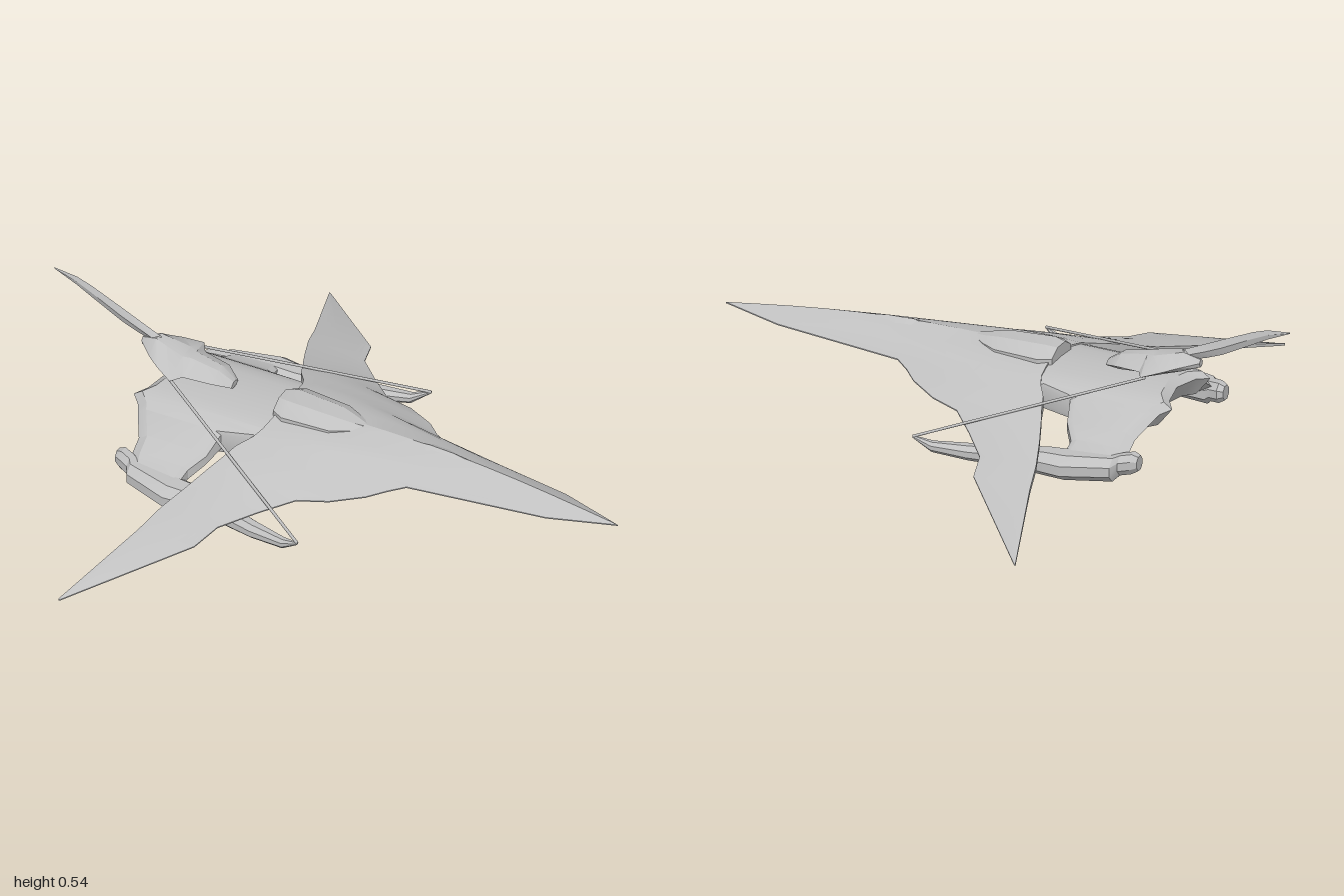
import * as THREE from 'three';
import { toCreasedNormals } from 'three/addons/utils/BufferGeometryUtils.js';

const hullGrey = new THREE.MeshStandardMaterial({ color: 0xc0c0c0 });
hullGrey.name = 'hullGrey';

// Skins equal-length rings of [x, y, z] points and caps both ends, facing outward.
function loft(rings, crease = 0.45) {
  const n = rings[0].length, tris = [];
  const add = (a, b, c) => tris.push([a, b, c]);
  for (let i = 0; i < rings.length - 1; i++) {
    for (let j = 0; j < n; j++) {
      const k = (j + 1) % n;
      const a = rings[i][j], b = rings[i][k], c = rings[i + 1][k], d = rings[i + 1][j];
      add(a, b, c);
      add(a, c, d);
    }
  }
  const mid = r => [0, 1, 2].map(k => r.reduce((s, p) => s + p[k], 0) / n);
  const first = rings[0], last = rings[rings.length - 1];
  for (let j = 0; j < n; j++) {
    const k = (j + 1) % n;
    add(mid(first), first[k], first[j]);
    add(mid(last), last[j], last[k]);
  }
  // flip the winding if the enclosed volume is negative
  let volume = 0;
  for (const [a, b, c] of tris) {
    volume += new THREE.Vector3(...a).dot(new THREE.Vector3(...b).cross(new THREE.Vector3(...c)));
  }
  const pos = tris.flatMap(([a, b, c]) => (volume < 0 ? [a, c, b] : [a, b, c]).flat());
  const geo = new THREE.BufferGeometry();
  geo.setAttribute('position', new THREE.Float32BufferAttribute(pos, 3));
  return toCreasedNormals(geo, crease);
}

// Mirrors half-span stations (z first) to a full left-to-right list.
const fullSpan = half => [
  ...half.slice(1).reverse().map(([z, ...r]) => [-z, ...r]),
  ...half,
];

// Lengthwise station to a flattened octagonal ring: [x, y, z, halfHeight, halfWidth]
const octagon = ([x, y, z, h, w]) =>
  [[1, .4], [.45, 1], [-.45, 1], [-1, .4], [-1, -.4], [-.45, -1], [.45, -1], [1, -.4]]
    .map(([a, b]) => [x, y + b * h, z + a * w]);

export function createModel() {
  const group = new THREE.Group();
  const add = (name, geo, parent = group) => {
    const mesh = new THREE.Mesh(geo, hullGrey);
    mesh.name = name;
    parent.add(mesh);
    return mesh;
  };

  // Nose and swept wings: z, leading x/y, trailing x, trailing top/bottom y, bulge
  const wing = fullSpan([
    [0, 1, .205, -.17, .29, .19, .035],
    [.07, .78, .205, -.18, .28, .19, .022],
    [.135, .32, .21, -.19, .265, .187, .022],
    [.17, .27, .2, -.205, .252, .185, .018],
    [.22, .22, .193, -.24, .237, .19, .014],
    [.28, .12, .18, -.265, .215, .185, .01],
    [.31, .02, .17, -.28, .203, .178, .01],
    [.4, -.07, .15, -.32, .168, .15, .008],
    [.5, -.16, .127, -.36, .138, .122, .005],
    [.6, -.19, .107, -.39, .105, .092, .004],
    [.92, -.5, .002, -.505, .004, 0, 0],
  ]);
  const steps = 10;
  add('wingAndNose', loft(wing.map(([z, lx, ly, tx, top, bottom, bulge]) => {
    const ring = [];
    for (let i = 0; i <= steps; i++) {
      const t = i / steps;
      ring.push([lx + (tx - lx) * t, ly + (top - ly) * t + bulge * Math.sin(Math.PI * t), z]);
    }
    for (let i = steps; i >= 0; i--) {
      const t = i / steps;
      ring.push([lx + (tx - lx) * t, ly - .004 + (bottom - ly) * t, z]);
    }
    return ring;
  })));

  // Low spine on the nose
  const ridge = [[.27, .26, .285, .015], [.33, .255, .291, .07], [.42, .25, .286, .052], [.66, .235, .25, .003]];
  add('noseSpine', loft(ridge.map(([x, low, top, w]) =>
    [[x, low, -w], [x, top, 0], [x, low, w]])));

  // Raised canopy hump
  const canopy = [
    [-.19, .255, .315, .065], [-.15, .25, .32, .088], [.01, .25, .31, .075],
    [.07, .26, .298, .045], [.125, .27, .288, .004],
  ];
  add('canopy', loft(canopy.map(([x, low, top, w]) => [
    [x, low, -w], [x, (low + top) / 2 + .005, -w], [x, top, -w * .4],
    [x, top, w * .4], [x, (low + top) / 2 + .005, w], [x, low, w],
  ])));

  // Arched rear hull drooping to the pods: z, rear x, front x, top y, bottom y
  const arch = fullSpan([
    [0, -.6, -.12, .275, .17],
    [.09, -.62, -.13, .27, .17],
    [.13, -.65, -.16, .262, .168],
    [.16, -.62, -.19, .25, .165],
    [.18, -.61, -.315, .236, .158],
    [.24, -.575, -.335, .185, .13],
    [.29, -.575, -.375, .15, .09],
    [.34, -.56, -.38, .135, .07],
  ]);
  add('rearHull', loft(arch.map(([z, rear, front, top, bottom]) => [
    [front, top - .01, z], [front - .02, top, z], [rear + .03, top, z],
    [rear, top - .02, z], [rear + .05, bottom + .01, z],
    [rear + .08, bottom, z], [front - .02, bottom, z], [front, bottom + .015, z],
  ])));

  // Side pods with forward spikes, and the struts running back to the tail
  const pod = [
    [-.62, .118, .295, .024, .02], [-.6, .116, .297, .034, .03], [-.565, .11, .31, .034, .032],
    [-.55, .1, .325, .04, .045], [-.4, .093, .36, .042, .06], [-.33, .09, .36, .04, .052],
    [-.23, .088, .37, .033, .034], [-.08, .09, .412, .025, .028], [.04, .093, .436, .017, .016],
    [.1, .122, .455, .004, .004],
  ];
  for (const [side, s] of [['left', 1], ['right', -1]]) {
    add(side + 'Pod', loft(pod.map(([x, y, z, h, w]) => octagon([x, y, s * z, h, w]))));
    const strut = new THREE.LineCurve3(
      new THREE.Vector3(-.54, .317, s * .1), new THREE.Vector3(.1, .123, s * .455));
    add(side + 'Strut', new THREE.TubeGeometry(strut, 1, .005, 6));
  }

  // Tail head: x, bottom, shoulder, top y, half width
  const head = [
    [-.685, .345, .36, .37, .012], [-.63, .33, .352, .39, .065], [-.59, .32, .34, .378, .09],
    [-.53, .303, .322, .362, .118], [-.505, .302, .32, .358, .078], [-.41, .29, .312, .338, .06],
    [-.36, .284, .292, .305, .025],
  ];
  add('tailHead', loft(head.map(([x, low, mid, top, w]) => [
    [x, low, -w * .5], [x, mid, -w], [x, top, -w * .25],
    [x, top, w * .25], [x, mid, w], [x, low, w * .5],
  ])));

  // Swept tail fin, thin at its edges
  const fin = [
    [-.62, .355, .39, .014], [-.7, .378, .427, .009], [-.76, .402, .455, .008],
    [-.87, .462, .505, .006], [-.92, .49, .522, .004], [-1, .527, .531, .002],
  ];
  add('tailFin', loft(fin.map(([x, low, top, w]) =>
    [[x, low, 0], [x, (low + top) / 2, w], [x, top, 0], [x, (low + top) / 2, -w]])));

  return group;
}
